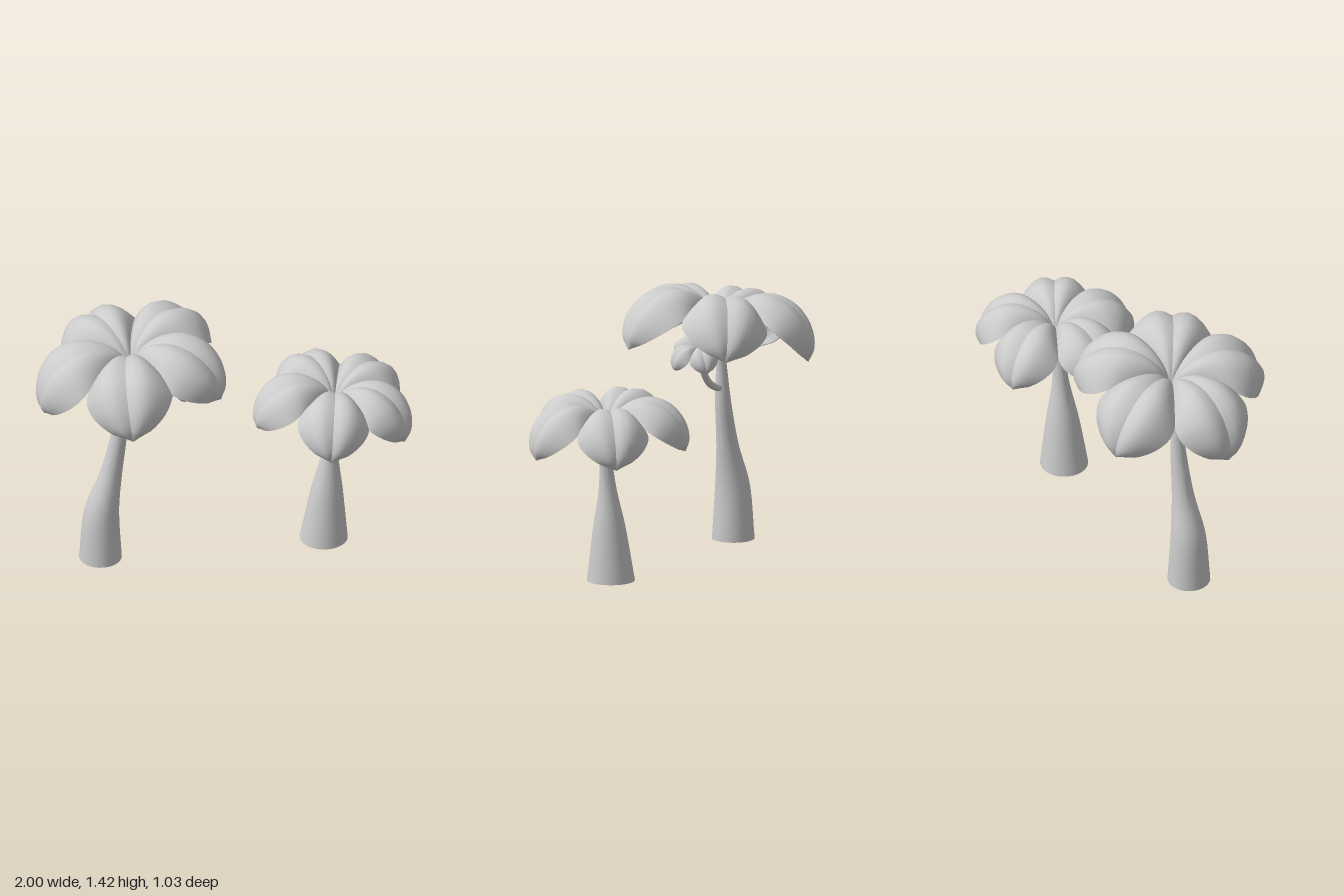
import * as THREE from 'three';
import { toCreasedNormals } from 'three/addons/utils/BufferGeometryUtils.js';

const material = new THREE.MeshStandardMaterial({ color: 0xcccccc, side: THREE.DoubleSide });
const spline = (pts) => new THREE.CatmullRomCurve3(pts.map((p) => new THREE.Vector3(...p)));

function addMesh(parent, name, geometry) {
  const mesh = new THREE.Mesh(geometry, material);
  mesh.name = name;
  parent.add(mesh);
  return mesh;
}

// Leaf midline: x = distance from crown, y = height, z = half width
const leafCurve = spline([
  [0, 0.05, 0.01], [0.06, 0.15, 0.06], [0.16, 0.215, 0.135], [0.28, 0.23, 0.208],
  [0.39, 0.185, 0.228], [0.475, 0.095, 0.185], [0.515, -0.01, 0.1], [0.505, -0.09, 0],
]);

// Thick arched leaf with two puffy lobes either side of a creased midrib
function leafGeometry() {
  const rows = 28, sides = 32, pos = [], index = [];
  for (let i = 0; i <= rows; i++) {
    const u = i / rows;
    const c = leafCurve.getPoint(u), t = leafCurve.getTangent(u);
    const w = Math.max(c.z, 0);
    const normal = new THREE.Vector2(-t.y, t.x).normalize();
    const arch = normal.clone().add(new THREE.Vector2(0, 1)).normalize();
    const thick = 0.045 * Math.sqrt(Math.max(0, Math.sin(Math.PI * u)));
    for (let j = 0; j < sides; j++) {
      const a = (j / sides) * Math.PI * 2, v = Math.cos(a);
      const puff = w * 0.18 * Math.sin(Math.PI * Math.abs(v)), drop = w * 0.55 * v * v;
      const under = thick * Math.max(0, -Math.sin(a));
      pos.push(
        c.x - arch.x * drop + normal.x * (puff - under),
        c.y - arch.y * drop + normal.y * (puff - under),
        w * v,
      );
      if (i < rows) {
        const k = i * sides + j, n = i * sides + ((j + 1) % sides);
        index.push(k, k + sides, n, n, k + sides, n + sides);
      }
    }
  }
  const g = new THREE.BufferGeometry();
  g.setAttribute('position', new THREE.Float32BufferAttribute(pos, 3));
  g.setIndex(index);
  return toCreasedNormals(g, 0.55);
}

// Five leaves around a point, tilted sideways
function addCrown(parent, name, geometry, position, scale, tilt) {
  const crown = new THREE.Group();
  crown.name = name;
  for (const angle of [33, 100, 174, 247, 321]) {
    addMesh(crown, 'leaf', geometry).rotation.y = -THREE.MathUtils.degToRad(angle);
  }
  crown.position.set(...position);
  crown.scale.setScalar(scale);
  crown.rotation.z = tilt;
  parent.add(crown);
}

// Open tapering trunk from level rings: x = centre, y = height, z = radius
function trunkGeometry(points) {
  const curve = spline(points);
  const g = new THREE.CylinderGeometry(1, 1, 1, 28, 28, true);
  const p = g.attributes.position;
  for (let i = 0; i < p.count; i++) {
    const c = curve.getPoint(THREE.MathUtils.clamp(p.getY(i) + 0.5, 0, 1));
    p.setXYZ(i, c.x + p.getX(i) * c.z, c.y, p.getZ(i) * c.z - 0.005);
  }
  return toCreasedNormals(g, 0.8);
}

export function createModel() {
  const model = new THREE.Group();
  model.name = 'palmTrees';
  const leaf = leafGeometry();

  // Tall tree
  const tall = new THREE.Group();
  tall.name = 'tallTree';
  addMesh(tall, 'trunk', trunkGeometry([
    [-0.66, 0, 0.114], [-0.652, 0.3, 0.092], [-0.604, 0.52, 0.06],
    [-0.561, 0.76, 0.043], [-0.537, 1.03, 0.025], [-0.505, 1.19, 0.018],
  ]));
  addCrown(tall, 'crown', leaf, [-0.485, 1.135, -0.01], 1, 0.15);

  // Side branch carrying a small sprout
  const branch = spline([
    [-0.56, 0.84, -0.005], [-0.49, 0.855, -0.005], [-0.42, 0.895, -0.005],
    [-0.37, 0.96, -0.005], [-0.347, 1.03, -0.005], [-0.335, 1.08, -0.005],
  ]);
  addMesh(tall, 'branch', new THREE.TubeGeometry(branch, 24, 0.019, 12));
  addCrown(tall, 'sprout', leaf, [-0.342, 1.062, -0.012], 0.335, -0.33);
  model.add(tall);

  // Short tree
  const short = new THREE.Group();
  short.name = 'shortTree';
  addMesh(short, 'trunk', trunkGeometry([
    [0.54, 0.005, 0.128], [0.556, 0.3, 0.086], [0.573, 0.52, 0.046],
    [0.596, 0.73, 0.03], [0.602, 0.86, 0.02],
  ]));
  addCrown(short, 'crown', leaf, [0.597, 0.8, -0.02], 0.83, -0.055);
  model.add(short);

  return model;
}
